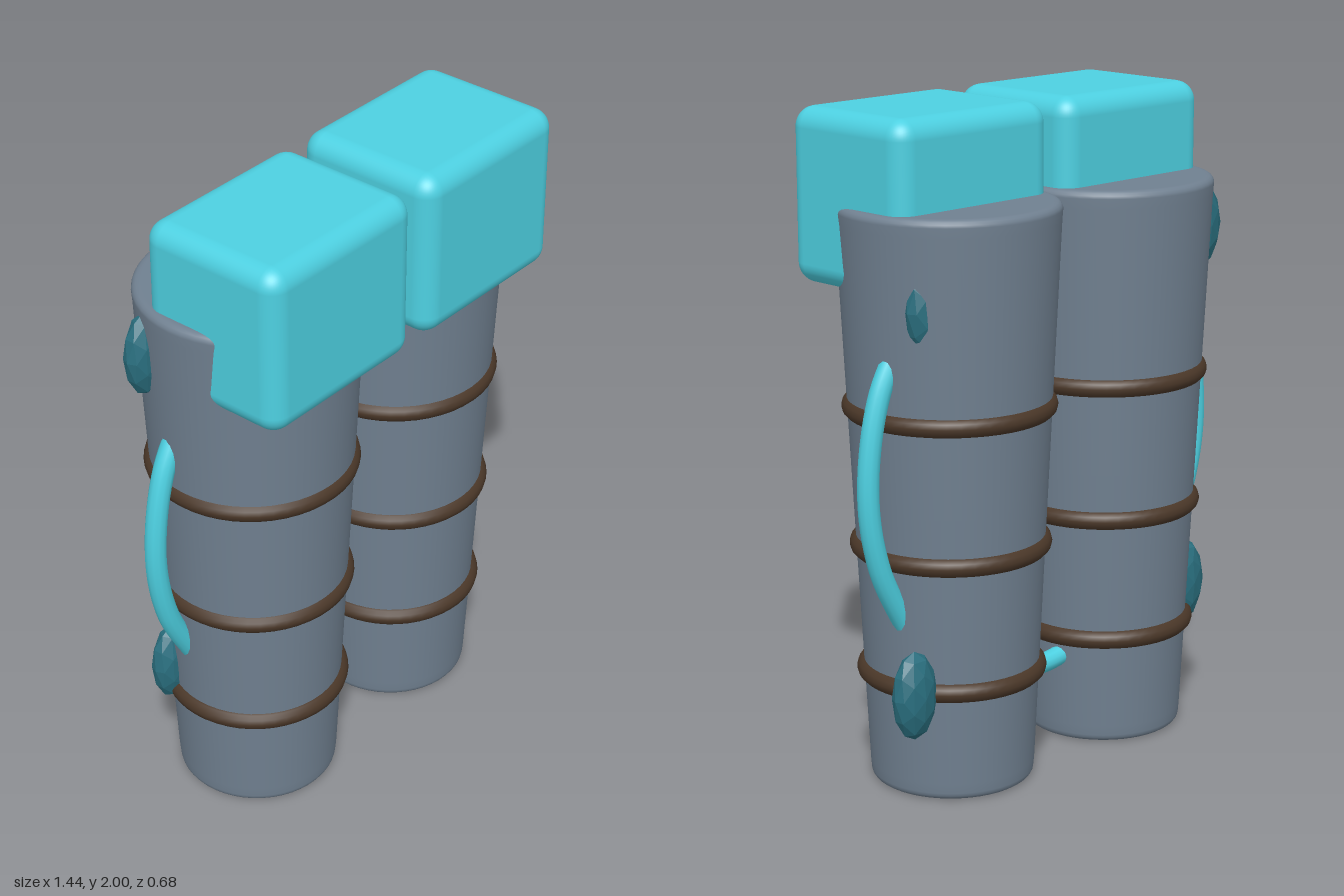
import * as THREE from 'three';
import { RoundedBoxGeometry } from 'three/addons/geometries/RoundedBoxGeometry.js';

const mat = (color) => { const m = new THREE.MeshStandardMaterial(); m.color.set(color); return m; };
const V = (x, y, z) => new THREE.Vector3(x, y, z);

const LEG_X = 0.325, LEG_Z = -0.015, LEG_H = 1.735, R_BOTTOM = 0.243, R_TOP = 0.327;
const TUBE_Z = -0.065;

// Tapered body profile with small rounded rims
function legProfile() {
  const b = 0.022, pts = [[0, 0], [R_BOTTOM - b - 0.004, 0]];
  for (let i = 0; i <= 4; i++) {
    const a = (i / 4) * Math.PI / 2;
    pts.push([R_BOTTOM - b + b * Math.sin(a), b - b * Math.cos(a)]);
  }
  for (const t of [0.03, 0.5, 0.97]) pts.push([R_BOTTOM + (R_TOP - R_BOTTOM) * t, LEG_H * t]);
  for (let i = 0; i <= 4; i++) {
    const a = (i / 4) * Math.PI / 2;
    pts.push([R_TOP - b + b * Math.cos(a), LEG_H - b + b * Math.sin(a)]);
  }
  pts.push([R_TOP - b - 0.004, LEG_H], [0, LEG_H]);
  return pts.map(([x, y]) => new THREE.Vector2(x, y));
}

export function createModel() {
  const model = new THREE.Group();
  model.name = 'armouredLegs';
  const slate = mat(0x708090), teal = mat(0x4dd0e1), brown = mat(0x4a3728), gemMat = mat(0x2a6f7f);
  gemMat.flatShading = true;

  const add = (name, geometry, material, x = 0, y = 0, z = 0) => {
    const mesh = new THREE.Mesh(geometry, material);
    mesh.name = name;
    mesh.position.set(x, y, z);
    model.add(mesh);
    return mesh;
  };
  const tube = (name, points, radius) =>
    add(name, new THREE.TubeGeometry(new THREE.CatmullRomCurve3(points), 40, radius, 12), teal);

  const bodyGeo = new THREE.LatheGeometry(legProfile(), 48);
  const padGeo = new RoundedBoxGeometry(0.59, 0.51, 0.475, 5, 0.06);
  const gemGeo = new THREE.IcosahedronGeometry(1, 1);

  for (const [side, s] of [['left', 1], ['right', -1]]) {
    add(side + 'Leg', bodyGeo, slate, s * LEG_X, 0, LEG_Z);
    add(side + 'KneePad', padGeo, teal, s * LEG_X, 1.745, 0.1);

    // Straps around the leg
    [[1.14, 0.285], [0.725, 0.268], [0.34, 0.252]].forEach(([y, r], i) => {
      const strap = add(side + 'Strap' + (i + 1), new THREE.TorusGeometry(r, 0.03, 12, 48), brown, s * LEG_X, y, LEG_Z);
      strap.rotation.x = Math.PI / 2;
    });

    // Bowed hose on the outer side
    tube(side + 'Hose', [[0.54, 1.4], [0.645, 1.22], [0.69, 0.95], [0.652, 0.72], [0.53, 0.48]]
      .map(([x, y]) => V(s * x, y, TUBE_Z)), 0.032);
  }

  // Short connectors bridging the two legs
  for (const [name, y] of [['lowerConnector', 0.265], ['upperConnector', 1.65]]) {
    tube(name, [V(-0.15, y + 0.02, TUBE_Z), V(0, y, TUBE_Z), V(0.15, y + 0.02, TUBE_Z)], 0.03);
  }

  // Faceted crystals set into the outer sides
  const gems = [
    ['leftLowerCrystal', 0.6, 0.345, -0.15],
    ['leftUpperCrystal', 0.542, 1.47, -0.157],
    ['rightUpperCrystal', -0.6, 1.565, -0.155],
    ['rightLowerCrystal', -0.548, 0.43, -0.155],
  ];
  for (const [name, x, y, z] of gems) add(name, gemGeo, gemMat, x, y, z).scale.set(0.076, 0.134, 0.05);

  return model;
}
